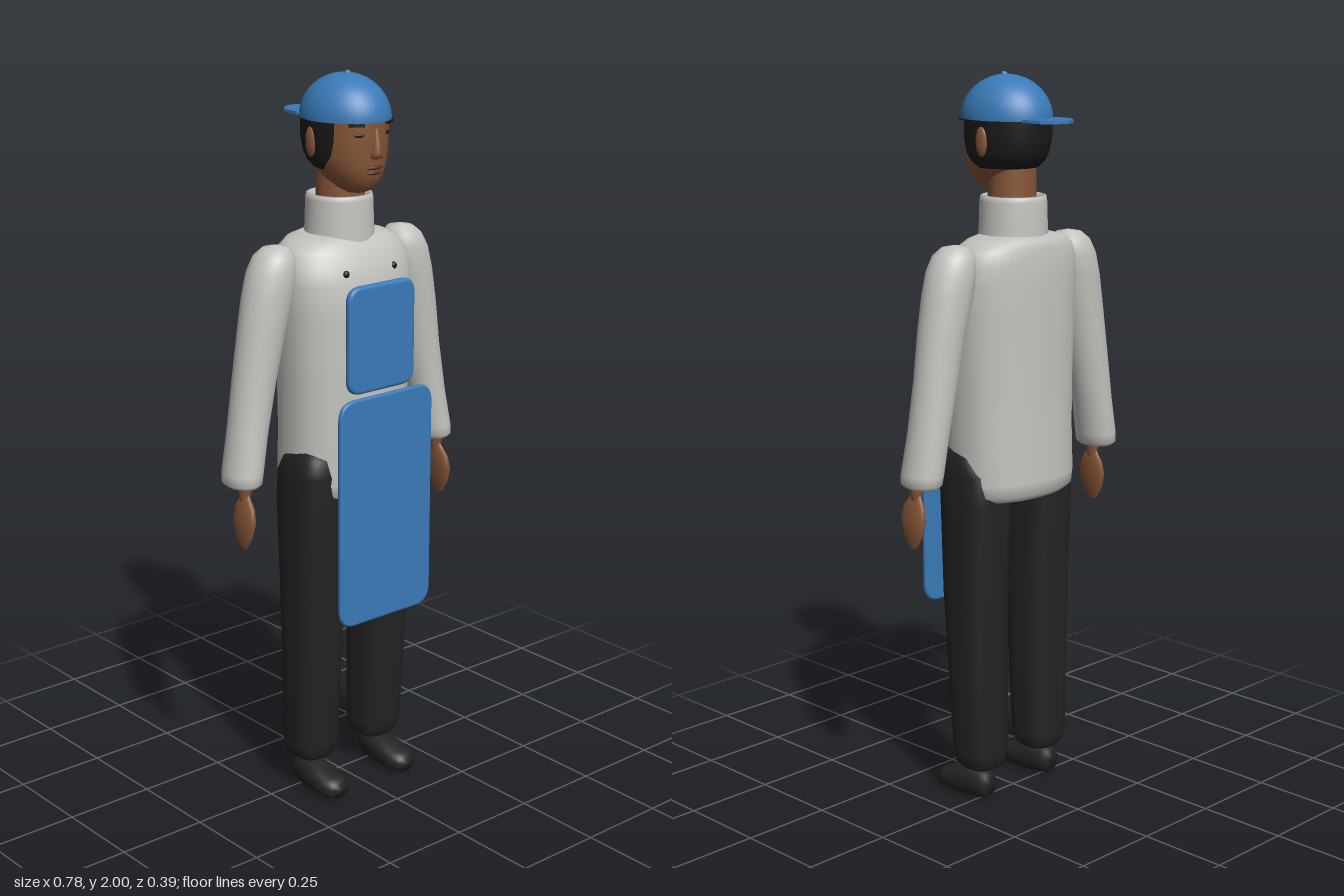
import * as THREE from 'three';

const mat = (name, color) => {
  const m = new THREE.MeshStandardMaterial({ color, side: THREE.DoubleSide });
  m.name = name;
  return m;
};

// Skin stacked oval sections [y, cx, cz, rx, rz, arc]; power above 2 gives boxier ovals.
// With an arc value (degrees) the section is left open toward the front.
function loft(sections, power = 2, n = 40) {
  const pos = [], idx = [];
  const open = sections[0].length > 5;
  const cols = open ? n + 1 : n;
  const bend = v => Math.sign(v) * Math.abs(v) ** (2 / power);
  for (const [y, cx, cz, rx, rz, arc = 90] of sections) {
    const from = THREE.MathUtils.degToRad(180 - arc);
    const span = THREE.MathUtils.degToRad(180 + 2 * arc);
    for (let i = 0; i < cols; i++) {
      const a = from + span * i / n;
      pos.push(cx + rx * bend(Math.cos(a)), y, cz + rz * bend(Math.sin(a)));
    }
  }
  for (let j = 0; j < sections.length - 1; j++) {
    for (let i = 0; i < n; i++) {
      const k = open ? i + 1 : (i + 1) % n;
      const a = j * cols + i, b = j * cols + k, c = a + cols, d = b + cols;
      idx.push(a, c, b, b, c, d);
    }
  }
  const g = new THREE.BufferGeometry();
  g.setAttribute('position', new THREE.Float32BufferAttribute(pos, 3));
  g.setIndex(idx);
  g.computeVertexNormals();
  return g;
}

// Rounded panel with softly bevelled edges, centred on its own origin
function panel(w, h, r, depth) {
  const b = depth * 0.45, x = w / 2 - b, y = h / 2 - b;
  const s = new THREE.Shape();
  s.moveTo(-x + r, -y);
  s.lineTo(x - r, -y).quadraticCurveTo(x, -y, x, -y + r);
  s.lineTo(x, y - r).quadraticCurveTo(x, y, x - r, y);
  s.lineTo(-x + r, y).quadraticCurveTo(-x, y, -x, y - r);
  s.lineTo(-x, -y + r).quadraticCurveTo(-x, -y, -x + r, -y);
  return new THREE.ExtrudeGeometry(s, {
    depth: depth - 2 * b, bevelThickness: b, bevelSize: b, bevelSegments: 4, curveSegments: 8,
  }).translate(0, 0, -depth / 2 + b);
}

export function createModel() {
  const model = new THREE.Group();
  model.name = 'standingCook';
  const shirt = mat('shirtGrey', 0xc3c3bf);
  const blue = mat('apronBlue', 0x3a7ab8);
  const skin = mat('skinBrown', 0x875638);
  const lip = mat('lipBrown', 0x5a3424);
  const dark = mat('trouserBlack', 0x232323);
  const hairMat = mat('hairBlack', 0x1b1a1a);

  const add = (name, geometry, material, x = 0, y = 0, z = 0) => {
    const m = new THREE.Mesh(geometry, material);
    m.name = name;
    m.position.set(x, y, z);
    model.add(m);
    return m;
  };
  const ball = (name, material, x, y, z, rx, ry, rz) => {
    const m = add(name, new THREE.SphereGeometry(1, 24, 16), material, x, y, z);
    m.scale.set(rx, ry, rz);
    return m;
  };

  // Shirt body and collar
  add('shirtBody', loft([
    [0.868, 0, 0.01, 0, 0], [0.868, 0, 0.01, 0.165, 0.115], [0.885, 0, 0.01, 0.183, 0.136],
    [0.92, 0, 0.012, 0.188, 0.14], [1.05, 0, 0.014, 0.188, 0.136], [1.2, 0, 0.015, 0.191, 0.136],
    [1.38, 0, 0.015, 0.2, 0.135], [1.46, 0, 0.012, 0.204, 0.132], [1.51, 0, 0.005, 0.2, 0.122],
    [1.545, 0, -0.003, 0.182, 0.11], [1.567, 0, -0.01, 0.145, 0.098], [1.578, 0, -0.01, 0.1, 0.08],
    [1.582, 0, -0.01, 0, 0],
  ], 2.3), shirt);
  add('collar', loft([
    [1.555, 0, 0, 0.096, 0.094], [1.6, 0, 0, 0.092, 0.092], [1.665, 0, 0, 0.09, 0.09],
    [1.678, 0, 0, 0.087, 0.087], [1.68, 0, 0, 0.08, 0.08], [1.65, 0, 0, 0.065, 0.066],
  ]), shirt);
  add('neck', new THREE.CylinderGeometry(0.064, 0.066, 0.2, 32), skin, 0, 1.68, 0.004);

  // Apron: bib and skirt panels hanging in front
  add('apronBib', panel(0.23, 0.29, 0.032, 0.022), blue, 0, 1.32, 0.166);
  add('apronSkirt', panel(0.324, 0.635, 0.045, 0.015), blue, 0, 0.853, 0.189);

  // Head
  add('head', loft([
    [1.688, 0, 0.06, 0, 0], [1.69, 0, 0.06, 0.025, 0.035], [1.702, 0, 0.06, 0.046, 0.062],
    [1.73, 0, 0.05, 0.072, 0.09], [1.76, 0, 0.04, 0.088, 0.104], [1.79, 0, 0.03, 0.098, 0.116],
    [1.83, 0, 0.025, 0.103, 0.123], [1.9, 0, 0.025, 0.104, 0.124],
  ]), skin);
  add('hair', loft([
    [1.752, 0, 0.036, 0.085, 0.1, 2], [1.77, 0, 0.032, 0.099, 0.115, 14],
    [1.79, 0, 0.028, 0.105, 0.123, 24], [1.83, 0, 0.024, 0.109, 0.129, 30],
    [1.89, 0, 0.024, 0.109, 0.13, 31],
  ]), hairMat);

  // Face
  add('nose', loft([
    [1.782, 0, 0.145, 0, 0], [1.787, 0, 0.145, 0.018, 0.014], [1.8, 0, 0.147, 0.016, 0.019],
    [1.825, 0, 0.145, 0.01, 0.013], [1.86, 0, 0.14, 0.007, 0.01], [1.875, 0, 0.138, 0, 0],
  ], 2, 16), skin);
  ball('upperLip', lip, 0, 1.762, 0.141, 0.027, 0.006, 0.009);
  ball('lowerLip', lip, 0, 1.748, 0.138, 0.023, 0.006, 0.009);

  // Backwards cap
  const dome = add('capDome', new THREE.SphereGeometry(1, 48, 20, 0, Math.PI * 2, 0, Math.PI / 2), blue, 0, 1.878, 0.024);
  dome.scale.set(0.111, 0.115, 0.132);
  ball('capButton', blue, 0, 1.991, 0.033, 0.009, 0.009, 0.009);
  const brim = new THREE.Shape([
    [-0.065, 0.095], [-0.065, 0.12], [-0.06, 0.155], [-0.03, 0.187], [0, 0.198],
    [0.03, 0.187], [0.06, 0.155], [0.065, 0.12], [0.065, 0.095],
  ].reverse().map(p => new THREE.Vector2(...p)));
  add('capBrim', new THREE.ExtrudeGeometry(brim, { depth: 0.008, bevelEnabled: false })
    .rotateX(-Math.PI / 2), blue, 0, 1.876, 0);

  // Mirrored parts
  for (const s of [1, -1]) {
    const side = s > 0 ? 'left' : 'right';

    const brow = add(side + 'Eyebrow', new THREE.BoxGeometry(0.042, 0.009, 0.008), hairMat, s * 0.055, 1.874, 0.133);
    brow.rotation.y = s * 0.45;
    const eye = ball(side + 'Eye', hairMat, s * 0.047, 1.847, 0.134, 0.014, 0.005, 0.004);
    eye.rotation.y = s * 0.4;
    ball(side + 'Ear', skin, s * 0.106, 1.824, 0.012, 0.01, 0.04, 0.019);
    ball(side + 'ShirtButton', hairMat, s * 0.082, 1.49, 0.124, 0.01, 0.01, 0.008);

    // Sleeve, wrist and hand
    add(side + 'Sleeve', loft([
      [0.94, 0.34, 0.005, 0, 0], [0.94, 0.34, 0.005, 0.038, 0.05], [0.95, 0.34, 0.004, 0.049, 0.062],
      [0.975, 0.337, 0.003, 0.051, 0.063], [1.08, 0.317, 0, 0.053, 0.059], [1.22, 0.29, -0.002, 0.06, 0.058],
      [1.34, 0.267, 0, 0.066, 0.061], [1.44, 0.244, 0, 0.071, 0.065], [1.5, 0.23, 0, 0.068, 0.065],
      [1.54, 0.222, 0, 0.054, 0.055], [1.56, 0.217, 0, 0.034, 0.035], [1.567, 0.215, 0, 0, 0],
    ].map(([y, x, ...r]) => [y, s * x, ...r])), shirt);
    add(side + 'Wrist', new THREE.CylinderGeometry(0.022, 0.013, 0.05, 20), skin, s * 0.343, 0.925, 0.02);
    add(side + 'Hand', loft([
      [0.768, 0.353, 0.025, 0, 0], [0.775, 0.353, 0.025, 0.005, 0.016], [0.81, 0.352, 0.025, 0.012, 0.036],
      [0.85, 0.35, 0.026, 0.017, 0.045], [0.885, 0.347, 0.025, 0.014, 0.038], [0.915, 0.344, 0.022, 0.008, 0.018],
      [0.93, 0.343, 0.02, 0, 0],
    ].map(([y, x, ...r]) => [y, s * x, ...r]), 2, 24), skin);

    // Trouser leg, its hip bulging slightly past the hem
    add(side + 'TrouserLeg', loft([
      [0.092, 0.115, 0.012, 0, 0], [0.092, 0.115, 0.012, 0.05, 0.05], [0.105, 0.115, 0.012, 0.063, 0.06],
      [0.14, 0.116, 0.013, 0.07, 0.068], [0.35, 0.118, 0.02, 0.074, 0.074], [0.6, 0.12, 0.026, 0.077, 0.084],
      [0.86, 0.121, 0.025, 0.08, 0.092], [0.94, 0.121, 0.03, 0.079, 0.092], [0.99, 0.12, 0.04, 0.076, 0.075],
      [1.015, 0.12, 0.045, 0.055, 0.04], [1.02, 0.12, 0.045, 0, 0],
    ].map(([y, x, ...r]) => [y, s * x, ...r]), 2.8), dark);

    // Shoe: sections run heel to toe along z
    add(side + 'Shoe', loft([
      [-0.032, 0, -0.045, 0, 0], [-0.03, 0, -0.045, 0.026, 0.032], [-0.01, 0, -0.047, 0.038, 0.044],
      [0.03, 0, -0.045, 0.042, 0.045], [0.08, 0, -0.038, 0.047, 0.038], [0.125, 0, -0.031, 0.044, 0.031],
      [0.148, 0, -0.029, 0.03, 0.024], [0.155, 0, -0.028, 0, 0],
    ], 2.3, 28).rotateX(Math.PI / 2), dark, s * 0.125, 0, 0);
    model.children.at(-1).geometry.scale(1, 1, 1);
  }
  return model;
}
